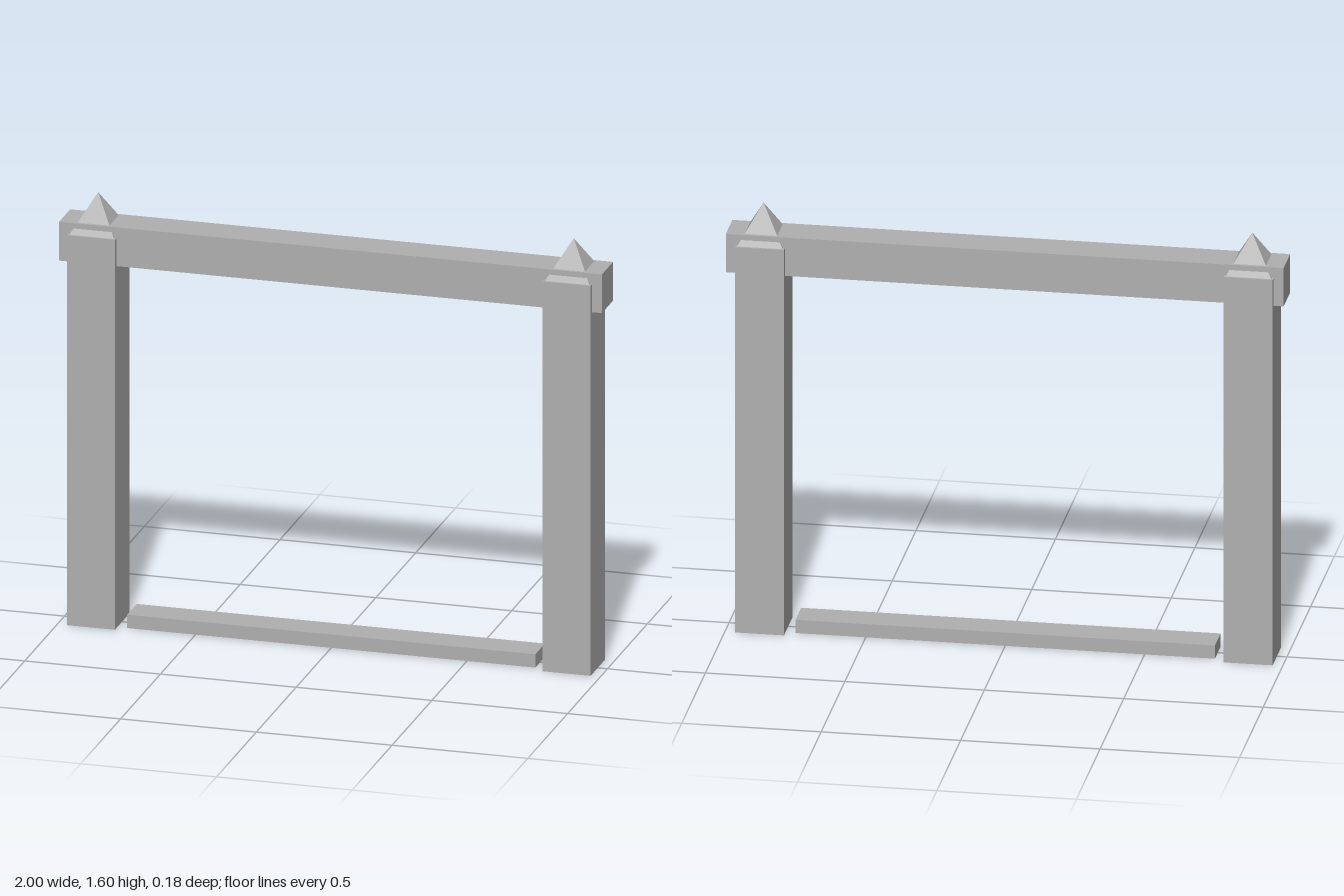
import * as THREE from 'three';

const stone = new THREE.MeshStandardMaterial({ color: 0xb0b0b0, side: THREE.DoubleSide, flatShading: true });
stone.name = 'grey stone';

// Box standing on y = 0, hollow from below
function openBox(w, h, d) {
  const geo = new THREE.BoxGeometry(w, h, d).translate(0, h / 2, 0);
  const index = Array.from(geo.index.array);
  index.splice(18, 6); // drop the bottom face
  geo.setIndex(index);
  geo.clearGroups();
  return geo;
}

function addMesh(parent, name, geo, x = 0, y = 0) {
  const mesh = new THREE.Mesh(geo, stone);
  mesh.name = name;
  mesh.position.set(x, y, 0);
  parent.add(mesh);
}

export function createModel() {
  const gate = new THREE.Group();
  gate.name = 'gateFrame';

  const postGeo = openBox(0.176, 1.46, 0.18);
  // Four-sided point with its flat sides square to the post
  const capGeo = new THREE.ConeGeometry(0.082 * Math.SQRT2, 0.14, 4, 1, true)
    .rotateY(Math.PI / 4).translate(0, 0.07, 0);

  for (const [side, sign] of [['left', 1], ['right', -1]]) {
    addMesh(gate, side + 'Post', postGeo, sign * 0.876);
    addMesh(gate, side + 'PostCap', capGeo, sign * 0.876, 1.46);
  }

  // Crossbeam running through both posts
  addMesh(gate, 'crossbeam', new THREE.BoxGeometry(2, 0.145, 0.14), 0, 1.4275);

  // Low sill between the posts
  addMesh(gate, 'sill', openBox(1.504, 0.05, 0.12));

  return gate;
}
